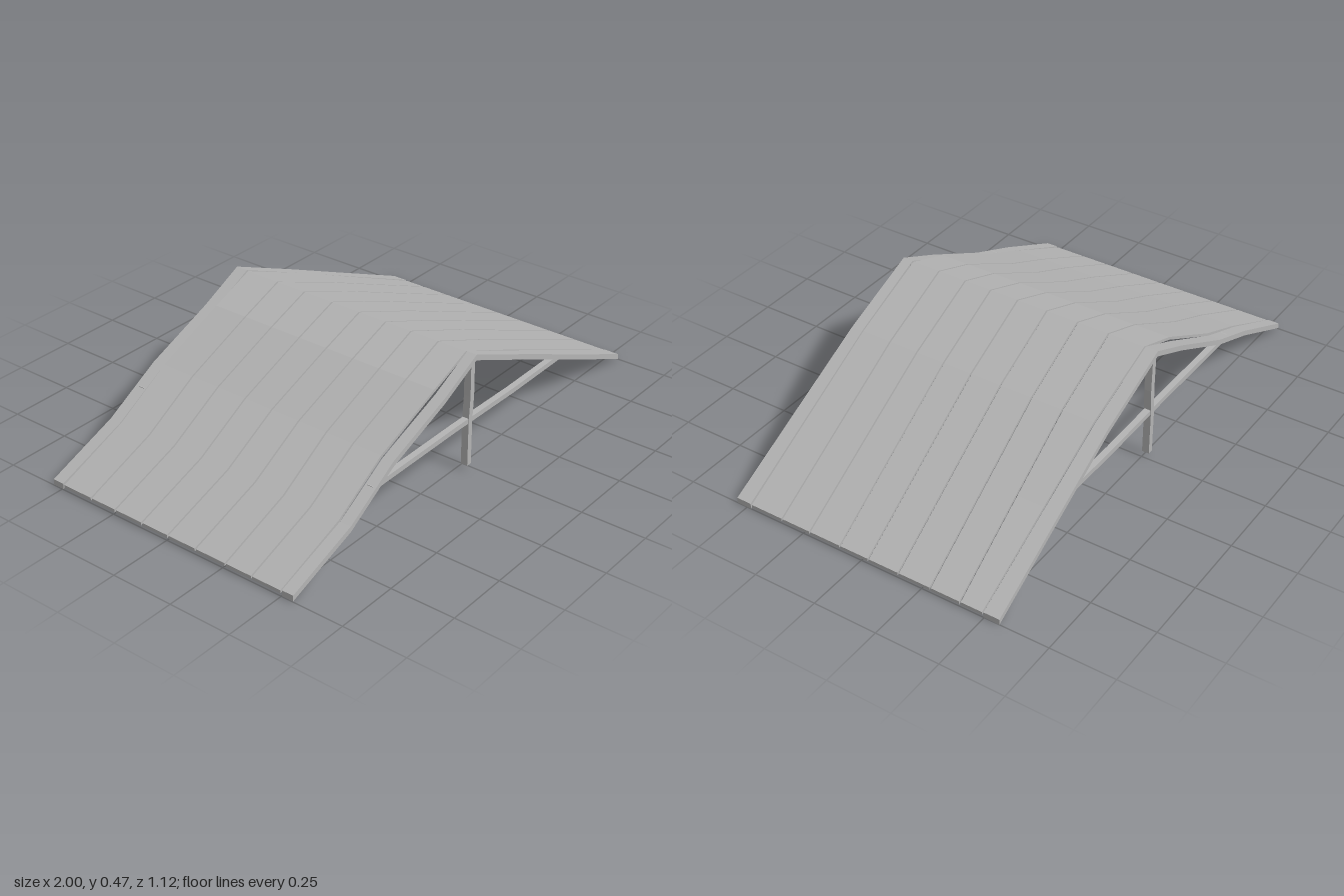
import * as THREE from 'three';

// Lengthwise stations shared by every roof board (ridge at the fifth)
const X = [-1, -0.72, -0.47, -0.2, -0.015, 0.3, 0.62, 1];
const TOP_EDGE = [0.025, 0.146, 0.258, 0.385, 0.47, 0.336, 0.192, 0.022];
const TOP_MID = [0.022, 0.148, 0.266, 0.4, 0.468, 0.338, 0.192, 0.02];
const WAVE = [0, 0.012, -0.01, 0.004, 0, 0.01, 0.006, 0];

// Seams between boards: z at left eave, ridge, right eave
const SEAMS = [
  [-0.54, -0.537, -0.56], [-0.49, -0.485, -0.495], [-0.355, -0.338, -0.405],
  [-0.24, -0.21, -0.285], [-0.115, -0.08, -0.155], [0.005, 0.045, -0.03],
  [0.13, 0.163, 0.09], [0.262, 0.275, 0.22], [0.375, 0.393, 0.342],
  [0.5, 0.512, 0.48], [0.55, 0.555, 0.543],
];

// Z of a seam at station i
function seamZ([a, b, c], i) {
  const x = X[i], r = X[4];
  const z = x < r ? a + (b - a) * (x + 1) / (r + 1) : b + (c - b) * (x - r) / (1 - r);
  return z + WAVE[i];
}

// Lofted board from sections { x, y0, y1, z0, z1 } ordered along +x
function board(name, sections, material) {
  const rings = sections.map(s => [
    [s.x, s.y1, s.z0], [s.x, s.y1, s.z1], [s.x, s.y0, s.z1], [s.x, s.y0, s.z0],
  ]);
  const pos = [];
  const quad = (a, b, c, d) => pos.push(...a, ...b, ...c, ...a, ...c, ...d);
  for (let i = 0; i < rings.length - 1; i++) {
    for (let k = 0; k < 4; k++) {
      const n = (k + 1) % 4;
      quad(rings[i][k], rings[i][n], rings[i + 1][n], rings[i + 1][k]);
    }
  }
  const [a, b, c, d] = rings[0];
  quad(a, d, c, b);
  quad(...rings[rings.length - 1]);
  const geometry = new THREE.BufferGeometry();
  geometry.setAttribute('position', new THREE.Float32BufferAttribute(pos, 3));
  geometry.computeVertexNormals();
  const mesh = new THREE.Mesh(geometry, material);
  mesh.name = name;
  return mesh;
}

export function createModel() {
  const group = new THREE.Group();
  group.name = 'gableRoof';
  const grey = new THREE.MeshStandardMaterial({ color: 0xb4b4b4 });
  grey.name = 'weatheredGrey';

  // Roof boards, with thicker rafters along the front and back edges
  const last = SEAMS.length - 2;
  for (let s = 0; s <= last; s++) {
    const edge = s === 0 || s === last;
    const thick = edge ? 0.022 : 0.012;
    const tops = edge ? TOP_EDGE : TOP_MID;
    const sections = X.map((x, i) => ({
      x, y1: tops[i], y0: tops[i] - thick,
      z0: seamZ(SEAMS[s], i) + (s === 0 ? 0 : 0.003),
      z1: seamZ(SEAMS[s + 1], i) - (s === last ? 0 : 0.003),
    }));
    group.add(board(edge ? 'edgeRafter' : 'roofPlank', sections, grey));
  }

  // Post and tie beam in each gable
  for (const z of [0.527, -0.512]) {
    const post = board('gablePost', [
      [0.02, 0.017], [0.2, 0.018], [0.3, 0.012], [0.46, 0.015],
    ].map(([x, y]) => ({ x, y0: y - 0.011, y1: y + 0.011, z0: z - 0.014, z1: z + 0.014 })), grey);
    post.rotation.z = Math.PI / 2;
    group.add(post);

    group.add(board('tieBeam', [
      [-0.575, 0.203], [-0.1, 0.205], [0.25, 0.199], [0.57, 0.203],
    ].map(([x, y]) => ({ x, y0: y - 0.01, y1: y + 0.01, z0: z - 0.012, z1: z + 0.012 })), grey));
  }
  return group;
}
